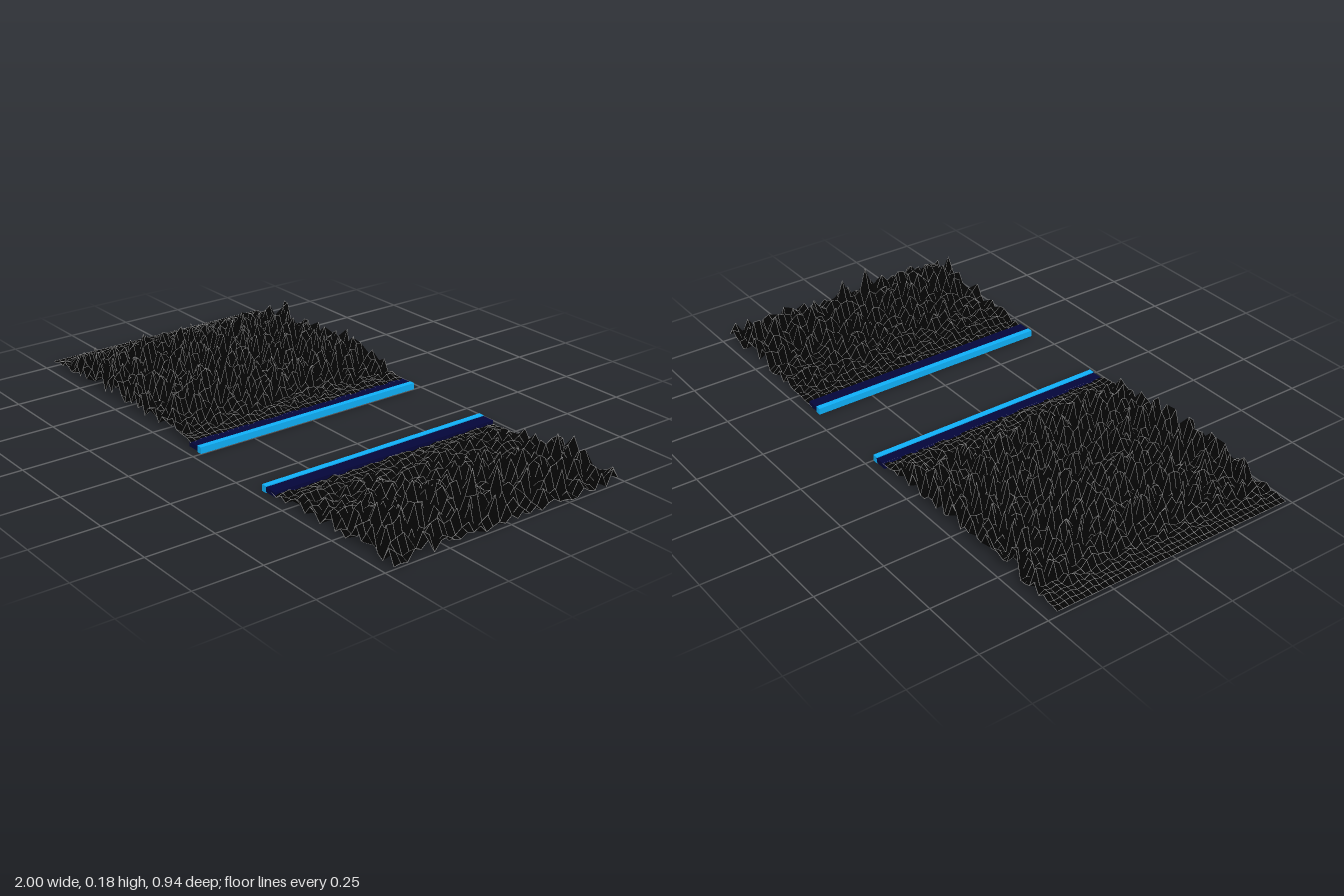
import * as THREE from 'three';
import { mergeGeometries } from 'three/addons/utils/BufferGeometryUtils.js';

const DEPTH = 0.935;

function seeded(seed) {
  return () => {
    seed = (seed * 1664525 + 1013904223) % 4294967296;
    return seed / 4294967296;
  };
}

// Linear interpolation through [x, value] pairs
function profileAt(points, x) {
  for (let i = 1; i < points.length; i++) {
    const [x0, a] = points[i - 1], [x1, b] = points[i];
    if (x <= x1) return a + (b - a) * Math.max(0, (x - x0) / (x1 - x0));
  }
  return points[points.length - 1][1];
}

// Rugged sheet: random heights, mostly low, between a floor and a ridge profile along x
function createTerrain({ name, x0, x1, nx, nz, floor, profile, power, peaks, seed }) {
  const random = seeded(seed);
  const geometry = new THREE.PlaneGeometry(x1 - x0, DEPTH, nx, nz);
  geometry.rotateX(-Math.PI / 2);
  geometry.translate((x0 + x1) / 2, 0, 0);
  const pos = geometry.attributes.position;
  for (let i = 0; i < pos.count; i++) {
    const rise = Math.max(0, profileAt(profile, pos.getX(i)) - floor);
    pos.setY(i, floor + rise * Math.pow(random(), power));
  }
  const step = nx + 1;
  // Single tall summits, placed on the nearest grid point
  for (const [px, py, pz] of peaks) {
    const ix = Math.round((px - x0) / (x1 - x0) * nx);
    const iz = Math.round((pz / DEPTH + 0.5) * nz);
    const centre = iz * step + ix;
    pos.setY(centre, py);
    for (const n of [centre - 1, centre + 1, centre - step, centre + step]) {
      pos.setY(n, Math.max(pos.getY(n), py * 0.5));
    }
  }
  geometry.computeVertexNormals();
  const sheet = new THREE.Mesh(geometry, new THREE.MeshStandardMaterial({
    color: 0x040404, flatShading: true, side: THREE.DoubleSide }));
  sheet.name = name + 'Surface';

  // Fine grey rods along the grid
  const rods = [];
  const up = new THREE.Vector3(0, 1, 0);
  const addRod = (i, j) => {
    const a = new THREE.Vector3().fromBufferAttribute(pos, i);
    const dir = new THREE.Vector3().fromBufferAttribute(pos, j).sub(a);
    const rod = new THREE.CylinderGeometry(0.0011, 0.0011, dir.length(), 4, 1, true);
    const middle = a.addScaledVector(dir, 0.5);
    rod.applyQuaternion(new THREE.Quaternion().setFromUnitVectors(up, dir.normalize()));
    rod.translate(middle.x, middle.y, middle.z);
    rods.push(rod);
  };
  for (let r = 0; r <= nz; r++) {
    for (let c = 0; c <= nx; c++) {
      const i = r * step + c;
      if (c < nx) addRod(i, i + 1);
      if (r < nz) addRod(i, i + step);
    }
  }
  const grid = new THREE.Mesh(mergeGeometries(rods),
    new THREE.MeshStandardMaterial({ color: 0x888888 }));
  grid.name = name + 'GridLines';

  const group = new THREE.Group();
  group.name = name;
  group.add(sheet, grid);
  return group;
}

function createStrip(name, x0, x1, y0, y1, color) {
  const mesh = new THREE.Mesh(new THREE.BoxGeometry(x1 - x0, y1 - y0, DEPTH),
    new THREE.MeshStandardMaterial({ color }));
  mesh.position.set((x0 + x1) / 2, (y0 + y1) / 2, 0);
  mesh.name = name;
  return mesh;
}

export function createModel() {
  const model = new THREE.Group();
  model.name = 'landscape';

  // Wide hills
  model.add(createTerrain({
    name: 'rightHills', x0: -1, x1: -0.06, nx: 42, nz: 42, floor: 0.02, power: 2, seed: 7,
    profile: [[-1, 0.02], [-0.92, 0.045], [-0.82, 0.122], [-0.25, 0.122], [-0.15, 0.06], [-0.06, 0.02]],
    peaks: [],
  }));

  // Narrow mountains with a few tall summits
  model.add(createTerrain({
    name: 'leftMountains', x0: 0.4, x1: 1, nx: 24, nz: 36, floor: 0.006, power: 1.7, seed: 21,
    profile: [[0.4, 0.015], [0.45, 0.022], [0.58, 0.055], [0.7, 0.075], [0.76, 0.11],
      [0.88, 0.115], [0.94, 0.1], [1, 0.065]],
    peaks: [[0.9, 0.175, 0.075], [0.9, 0.155, -0.015], [0.83, 0.143, -0.375],
      [0.83, 0.133, -0.2], [0.83, 0.126, 0.38], [0.78, 0.126, 0.2]],
  }));

  // Banks: navy kerb and bright blue edge beside the gap
  const navy = 0x04063a, blue = 0x0fb0f8;
  model.add(
    createStrip('rightKerb', -0.07, -0.022, 0.004, 0.021, navy),
    createStrip('rightEdge', -0.022, -0.001, 0, 0.024, blue),
    createStrip('leftEdge', 0.349, 0.37, 0, 0.024, blue),
    createStrip('leftKerb', 0.37, 0.418, 0.004, 0.021, navy),
  );
  return model;
}
